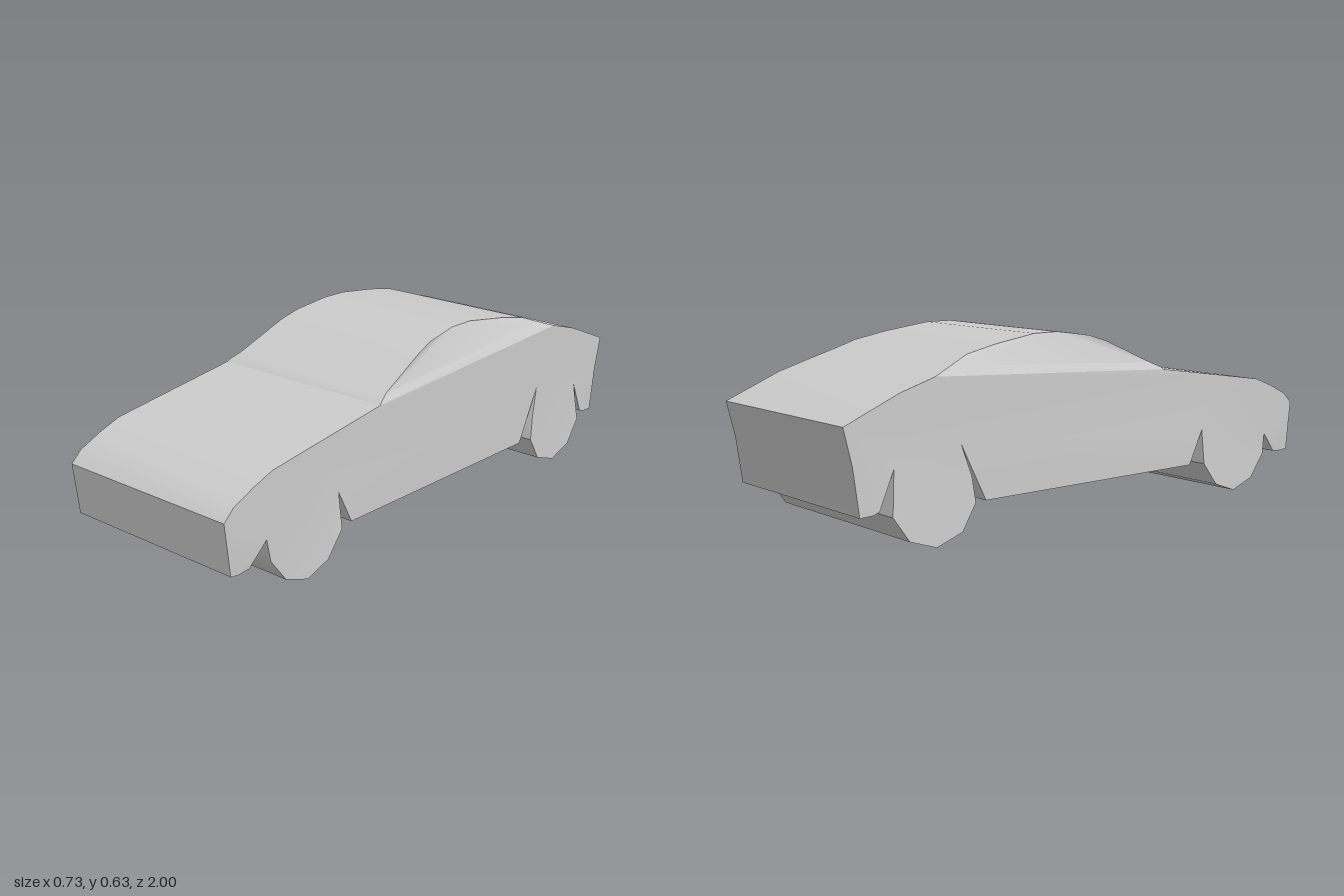
import * as THREE from 'three';
import { toCreasedNormals } from 'three/addons/utils/BufferGeometryUtils.js';

const BODY = 0.352, WHEEL = 0.366; // half widths

// Profile sections as [z, y, half width]; the body width is the default.
const hood = [[1, 0.295], [0.96, 0.333], [0.88, 0.37], [0.8, 0.4], [0.6, 0.43], [0.31, 0.473]];
const cabin = [
  [0.3, 0.482, 0.348], [0.26, 0.5, 0.335], [0.07, 0.585, 0.315], [0, 0.607, 0.306],
  [-0.06, 0.617, 0.297], [-0.13, 0.626, 0.295], [-0.23, 0.626, 0.295], [-0.4, 0.603, 0.305],
  [-0.52, 0.58, 0.314], [-0.6, 0.55, 0.333],
];
const tail = [[-0.67, 0.525], [-0.8, 0.487], [-1, 0.405], [-0.97, 0.285], [-0.948, 0.128], [-0.9, 0.13], [-0.878, 0.138]];
const rearWheel = [
  [-0.825, 0.26], [-0.84, 0.117, WHEEL], [-0.78, 0.034, WHEEL], [-0.68, 0, WHEEL],
  [-0.58, 0.034, WHEEL], [-0.528, 0.12, WHEEL], [-0.54, 0.205, 0.362], [-0.573, 0.308],
];
const sill = [[-0.477, 0.118], [0.45, 0.118]];
const frontWheel = [
  [0.51, 0.238], [0.51, 0.117, WHEEL], [0.575, 0.034, WHEEL], [0.67, 0, WHEEL],
  [0.765, 0.034, WHEEL], [0.828, 0.117, WHEEL], [0.84, 0.192, 0.362],
];
const nose = [[0.905, 0.117], [0.95, 0.114], [0.98, 0.118]];

const point = ([z, y, w = BODY], side) => [w * side, y, z];

// Both side walls over one closed section, wound to face outwards.
function addSides(out, section) {
  const flat = section.map(([z, y]) => new THREE.Vector2(z, y));
  for (const tri of THREE.ShapeUtils.triangulateShape(flat, [])) {
    const [a, b, c] = tri.map((i) => flat[i]);
    const ccw = (b.x - a.x) * (c.y - a.y) - (b.y - a.y) * (c.x - a.x) > 0;
    const order = ccw ? [tri[0], tri[2], tri[1]] : tri;
    for (const i of order) out.push(...point(section[i], 1));
    for (const i of [...order].reverse()) out.push(...point(section[i], -1));
  }
}

// Full-width skin following the outline.
function addSkin(out, outline) {
  outline.forEach((a, i) => {
    const b = outline[(i + 1) % outline.length];
    const [aL, bL, bR, aR] = [point(a, 1), point(b, 1), point(b, -1), point(a, -1)];
    out.push(...aL, ...bL, ...bR, ...aL, ...bR, ...aR);
  });
}

function makeMesh(name, positions, material) {
  const geometry = new THREE.BufferGeometry();
  geometry.setAttribute('position', new THREE.Float32BufferAttribute(positions, 3));
  const mesh = new THREE.Mesh(toCreasedNormals(geometry, 0.5), material);
  mesh.name = name;
  return mesh;
}

export function createModel() {
  const group = new THREE.Group();
  group.name = 'car';
  const material = new THREE.MeshStandardMaterial({ color: 0xcccccc });
  const lower = [...tail, ...rearWheel, ...sill, ...frontWheel, ...nose, ...hood];

  // Lower sides with wheels, then the tapered cabin sides above the belt line
  const sides = [];
  addSides(sides, lower);
  addSides(sides, [hood[hood.length - 1], ...cabin, tail[0]]);
  group.add(makeMesh('bodySides', sides, material));

  // Hood, roof, tail and underside
  const skin = [];
  addSkin(skin, [...cabin, ...lower]);
  group.add(makeMesh('bodyShell', skin, material));
  return group;
}
